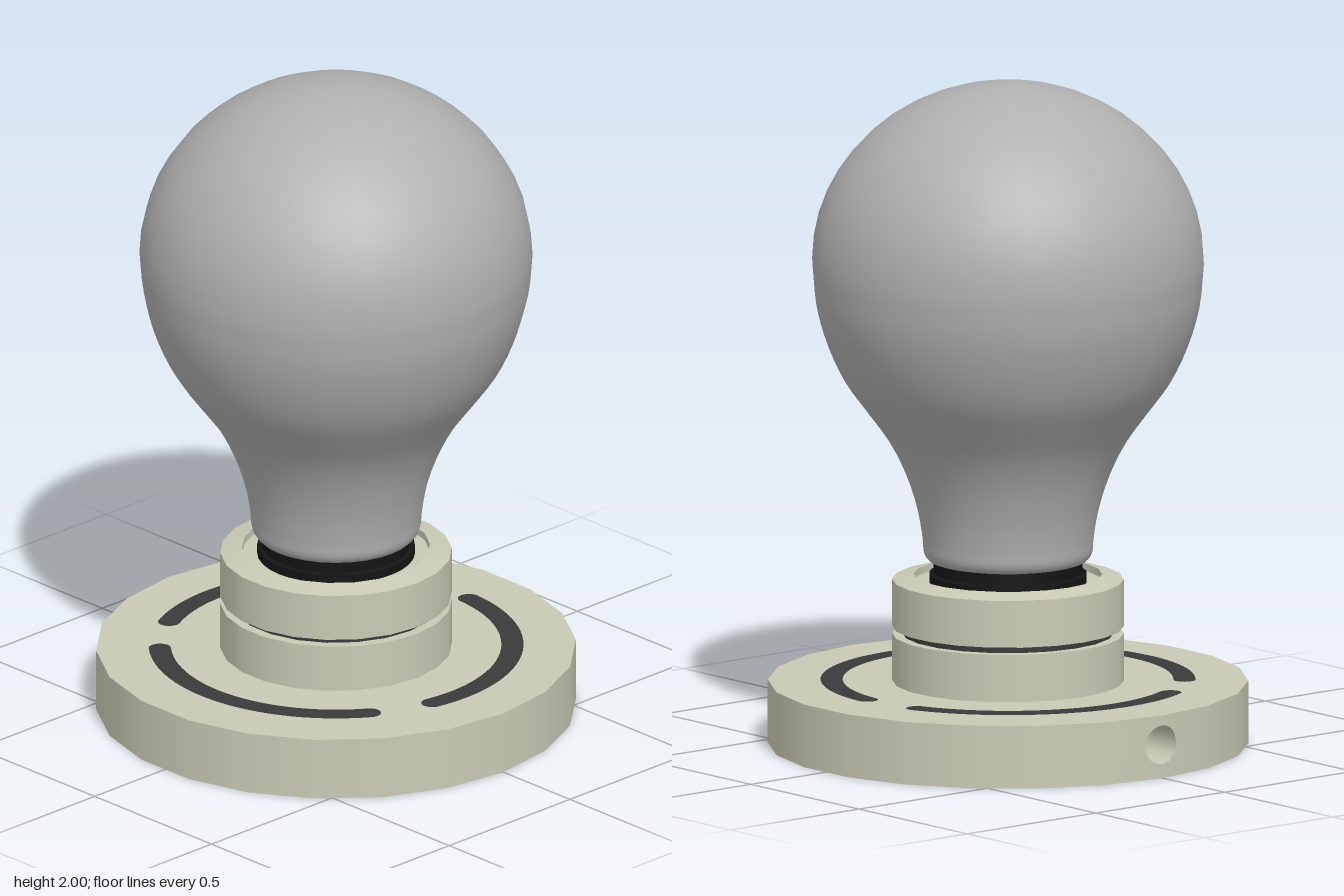
import * as THREE from 'three';
import { mergeGeometries } from 'three/addons/utils/BufferGeometryUtils.js';

const SIDES = 22, STEP = (Math.PI * 2) / SIDES;
const BASE_R = 0.715, BASE_H = 0.19;
const HOLE_R = 0.06, HOLE_Y = 0.1, HOLE_DEPTH = 0.14;

const paint = (name, color) => {
  const m = new THREE.MeshStandardMaterial({ color });
  m.name = name;
  return m;
};

// Lathe from [radius, y] pairs; a repeated pair keeps that edge sharp
const lathe = (pairs, sides) =>
  new THREE.LatheGeometry(pairs.map(([r, y]) => new THREE.Vector2(r, y)), sides);

const sharp = (pairs) => pairs.flatMap((p, i) => (i > 0 && i < pairs.length - 1 ? [p, p] : [p]));

// One facet of the base's back wall with half of the cable hole cut from its inner edge
function backPanel(side) {
  const width = 2 * BASE_R * Math.sin(STEP / 2);
  const s = new THREE.Shape();
  s.moveTo(0, 0);
  s.lineTo(width, 0);
  s.lineTo(width, BASE_H);
  s.lineTo(0, BASE_H);
  s.lineTo(0, HOLE_Y + HOLE_R);
  s.absarc(0, HOLE_Y, HOLE_R, Math.PI / 2, -Math.PI / 2, true);
  s.lineTo(0, 0);
  const g = new THREE.ShapeGeometry(s, 6);
  const p = g.attributes.position, n = g.attributes.normal;
  for (let i = 0; i < p.count; i++) {
    const u = p.getX(i);
    const x = side * u * Math.cos(STEP / 2), z = -BASE_R + u * Math.sin(STEP / 2);
    const len = Math.hypot(x, z);
    p.setXYZ(i, x, p.getY(i), z);
    n.setXYZ(i, x / len, 0, z / len);
  }
  if (side > 0) g.index.array.reverse();
  return g;
}

// Blind hole for the cable, its mouth bent to meet both back facets
function cableHole() {
  const g = lathe(sharp([[HOLE_R, 0], [HOLE_R, -HOLE_DEPTH], [0, -HOLE_DEPTH]]), 12);
  g.rotateX(-Math.PI / 2);
  const p = g.attributes.position;
  for (let i = 0; i < p.count; i++) {
    if (p.getZ(i) < 0.01) p.setZ(i, Math.abs(p.getX(i)) * Math.tan(STEP / 2));
  }
  return g.translate(0, HOLE_Y, -BASE_R);
}

function baseGeometry() {
  const wall = new THREE.CylinderGeometry(BASE_R, BASE_R, BASE_H, SIDES - 2, 1, true,
    Math.PI + STEP, Math.PI * 2 - 2 * STEP).translate(0, BASE_H / 2, 0);
  const disc = () => new THREE.CircleGeometry(BASE_R, SIDES, Math.PI / 2);
  const top = disc().rotateX(-Math.PI / 2).translate(0, BASE_H, 0);
  const bottom = disc().rotateX(Math.PI / 2);
  return mergeGeometries([wall, top, bottom, backPanel(1), backPanel(-1), cableHole()]);
}

// Curved slot with round ends, lying flat; angle measured from +z towards +x
function slotGeometry(middle, span) {
  const r = 0.525, w = 0.033, h = span / 2;
  const s = new THREE.Shape();
  s.absarc(0, 0, r + w, -h, h, false);
  s.absarc(r * Math.cos(h), r * Math.sin(h), w, h, h + Math.PI, false);
  s.absarc(0, 0, r - w, h, -h, true);
  s.absarc(r * Math.cos(h), -r * Math.sin(h), w, Math.PI - h, 2 * Math.PI - h, false);
  return new THREE.ShapeGeometry(s, 16)
    .rotateX(-Math.PI / 2)
    .rotateY(middle - Math.PI / 2)
    .translate(0, BASE_H + 0.003, 0);
}

// Bulb outline: splined neck below, elliptical dome above
function bulbGeometry() {
  const neck = [[0.2, 0.553], [0.236, 0.558], [0.251, 0.58], [0.255, 0.62], [0.27, 0.71],
    [0.305, 0.82], [0.355, 0.92], [0.42, 1.01], [0.485, 1.1], [0.537, 1.21], [0.572, 1.33],
    [0.585, 1.46]].map(([r, y]) => new THREE.Vector3(r, y, 0));
  const pts = new THREE.CatmullRomCurve3(neck).getPoints(33).map((v) => [v.x, v.y]);
  for (let i = 1; i <= 12; i++) {
    const a = (i / 12) * (Math.PI / 2);
    pts.push([i === 12 ? 0 : 0.585 * Math.cos(a), 1.46 + 0.54 * Math.sin(a)]);
  }
  return lathe([[0, 0.553], ...[pts[0], pts[0]], ...pts.slice(1)], 32);
}

export function createModel() {
  const group = new THREE.Group();
  const cream = paint('cream plastic', 0xc9cab5);
  const grey = paint('grey glass', 0xb0b0b0);
  const dark = paint('dark grey', 0x3a3a3a);
  const black = paint('black', 0x141414);
  const add = (name, geometry, material) => {
    const mesh = new THREE.Mesh(geometry, material);
    mesh.name = name;
    group.add(mesh);
  };

  add('base', baseGeometry(), cream);

  // Three slots around the top of the base
  for (let i = 0; i < 3; i++) {
    const middle = THREE.MathUtils.degToRad(38 + i * 120);
    add('baseSlot', slotGeometry(middle, THREE.MathUtils.degToRad(98)), dark);
  }

  // Socket: two collars with a dark groove between
  add('lowerCollar', lathe(sharp([[0.345, BASE_H], [0.345, 0.333], [0.3, 0.333]]), SIDES), cream);
  add('grooveRing', lathe([[0.315, 0.325], [0.315, 0.365]], SIDES), dark);
  add('upperCollar', lathe(sharp([[0.3, 0.355], [0.345, 0.355], [0.345, 0.497], [0.28, 0.512],
    [0.28, 0.49], [0.2, 0.49]]), SIDES), cream);

  // Threaded cap between the socket and the bulb
  add('bulbCap', lathe(sharp([[0.235, 0.488], [0.235, 0.516], [0.222, 0.52], [0.222, 0.556]]), 32), black);
  add('bulb', bulbGeometry(), grey);
  return group;
}
